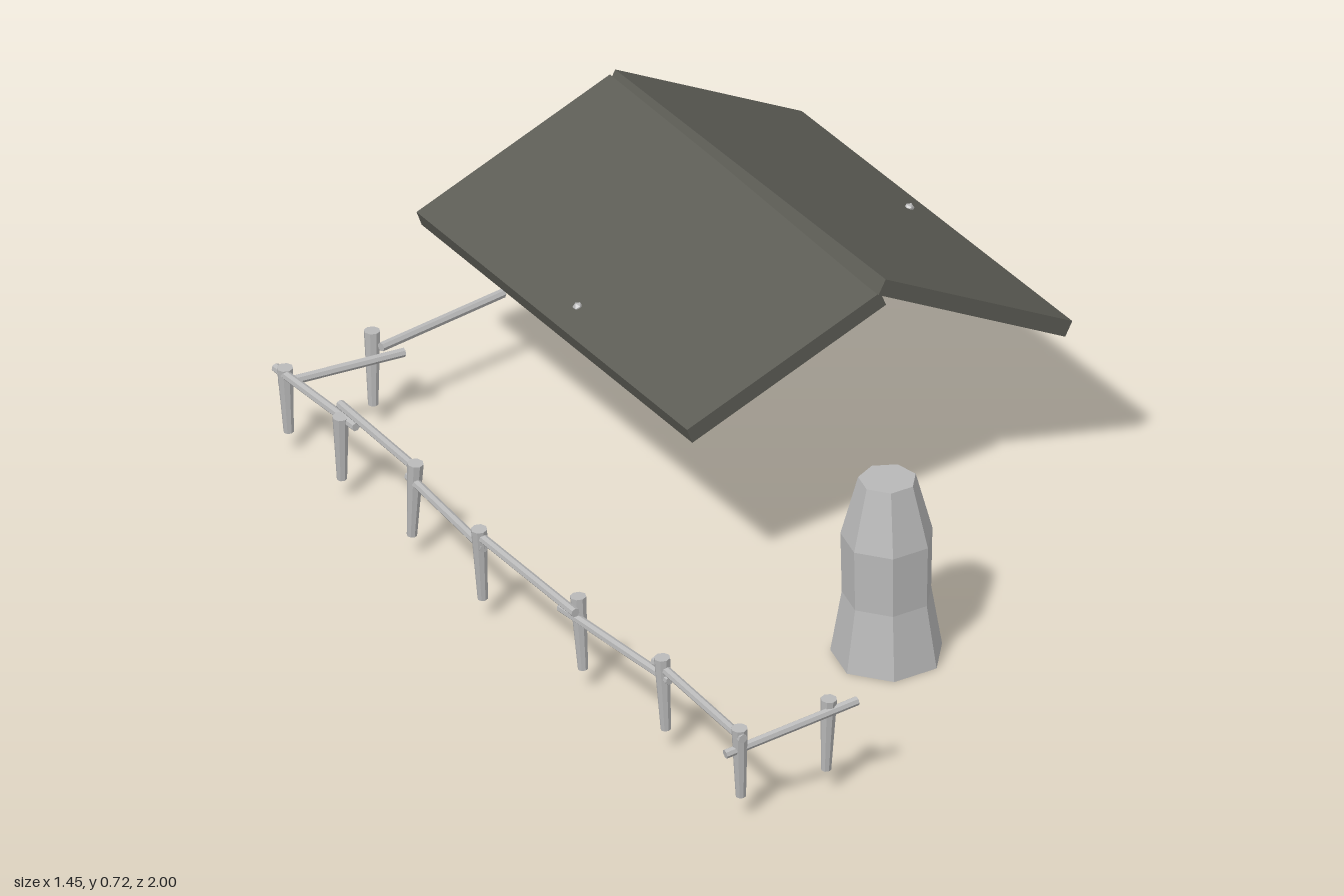
import * as THREE from 'three';

const mat = (name, color) => {
  const m = new THREE.MeshStandardMaterial({ color });
  m.name = name;
  m.flatShading = true;
  return m;
};

export function createModel() {
  const group = new THREE.Group();
  const stone = mat('pale grey', 0xb8b8b8);
  const slate = mat('dark grey', 0x5c5c55);

  const add = (name, geometry, material) => {
    const mesh = new THREE.Mesh(geometry, material);
    mesh.name = name;
    group.add(mesh);
    return mesh;
  };

  // Tapered bar between two points
  const bar = (name, a, b, rA, rB, sides) => {
    const from = new THREE.Vector3(...a), to = new THREE.Vector3(...b);
    const dir = to.clone().sub(from);
    const mesh = add(name, new THREE.CylinderGeometry(rB, rA, dir.length(), sides), stone);
    mesh.position.copy(from).add(to).multiplyScalar(0.5);
    mesh.quaternion.setFromUnitVectors(new THREE.Vector3(0, 1, 0), dir.normalize());
    return mesh;
  };

  // Roof slab: cross-section in x/y, run along z, sinking by drop towards the back
  const slab = (name, section, zBack, zFront, drop) => {
    const shape = new THREE.Shape(section.map(([x, y]) => new THREE.Vector2(x, y)));
    const depth = zFront - zBack;
    const geo = new THREE.ExtrudeGeometry(shape, { depth, bevelEnabled: false });
    const p = geo.attributes.position;
    for (let i = 0; i < p.count; i++) p.setY(i, p.getY(i) - drop * (1 - p.getZ(i) / depth));
    geo.translate(0, 0, zBack);
    geo.computeVertexNormals();
    add(name, geo, slate);
  };
  slab('leftRoofSlab', [[0.228, 0.716], [0.209, 0.681], [0.706, 0.415], [0.725, 0.45]], -0.995, 0.145, 0.021);
  slab('rightRoofSlab', [[-0.298, 0.486], [-0.284, 0.448], [0.232, 0.646], [0.217, 0.683]], -1, 0.14, 0);

  // Small chips lying on the roof
  for (const [x, y, z] of [[-0.235, 0.508, -0.42], [0.66, 0.474, -0.44]]) {
    const chip = add('roofChip', new THREE.IcosahedronGeometry(0.012, 0), stone);
    chip.position.set(x, y, z);
  }

  // Seven-sided pillar with a flared foot and tapering top
  const profile = [[0, 0], [0.13, 0], [0.104, 0.155], [0.107, 0.307], [0.067, 0.456], [0, 0.456]];
  const pillar = add('pillar', new THREE.LatheGeometry(profile.map(([r, y]) => new THREE.Vector2(r, y)), 7), stone);
  pillar.rotation.y = Math.PI;
  pillar.position.set(-0.004, 0, 0.52);

  // Fence posts: x, z, top height, lean in x and z of the foot
  const posts = [
    [-0.445, 0.97, 0.245, 0, -0.012], [-0.68, 0.965, 0.24, 0.01, -0.01], [-0.665, 0.615, 0.245, 0.01, 0],
    [-0.68, 0.285, 0.245, 0.01, 0.005], [-0.71, -0.085, 0.245, 0.015, -0.008], [-0.68, -0.4, 0.25, 0, -0.015],
    [-0.69, -0.7, 0.225, 0.01, -0.01], [-0.68, -0.95, 0.225, 0.01, 0], [-0.445, -0.955, 0.245, 0, 0.005],
  ];
  for (const [x, z, top, dx, dz] of posts) {
    bar('fencePost', [x + dx, 0.055, z + dz], [x, top, z], 0.012, 0.019, 8);
  }

  // Fence rails, end to end around the yard
  const rails = [
    [[-0.715, 0.18, 0.96], [-0.38, 0.228, 0.987]],
    [[-0.683, 0.222, 0.985], [-0.659, 0.215, 0.575]],
    [[-0.66, 0.195, 0.64], [-0.692, 0.192, 0.23]],
    [[-0.706, 0.224, 0.315], [-0.708, 0.226, -0.1]],
    [[-0.706, 0.2, -0.07], [-0.68, 0.202, -0.43]],
    [[-0.68, 0.237, -0.39], [-0.672, 0.237, -0.73]],
    [[-0.677, 0.216, -0.655], [-0.686, 0.212, -0.98]],
    [[-0.69, 0.184, -0.955], [-0.38, 0.184, -0.923]],
    [[-0.44, 0.215, -0.925], [-0.08, 0.215, -0.98]],
  ];
  for (const [a, b] of rails) bar('fenceRail', a, b, 0.011, 0.011, 7);

  return group;
}
